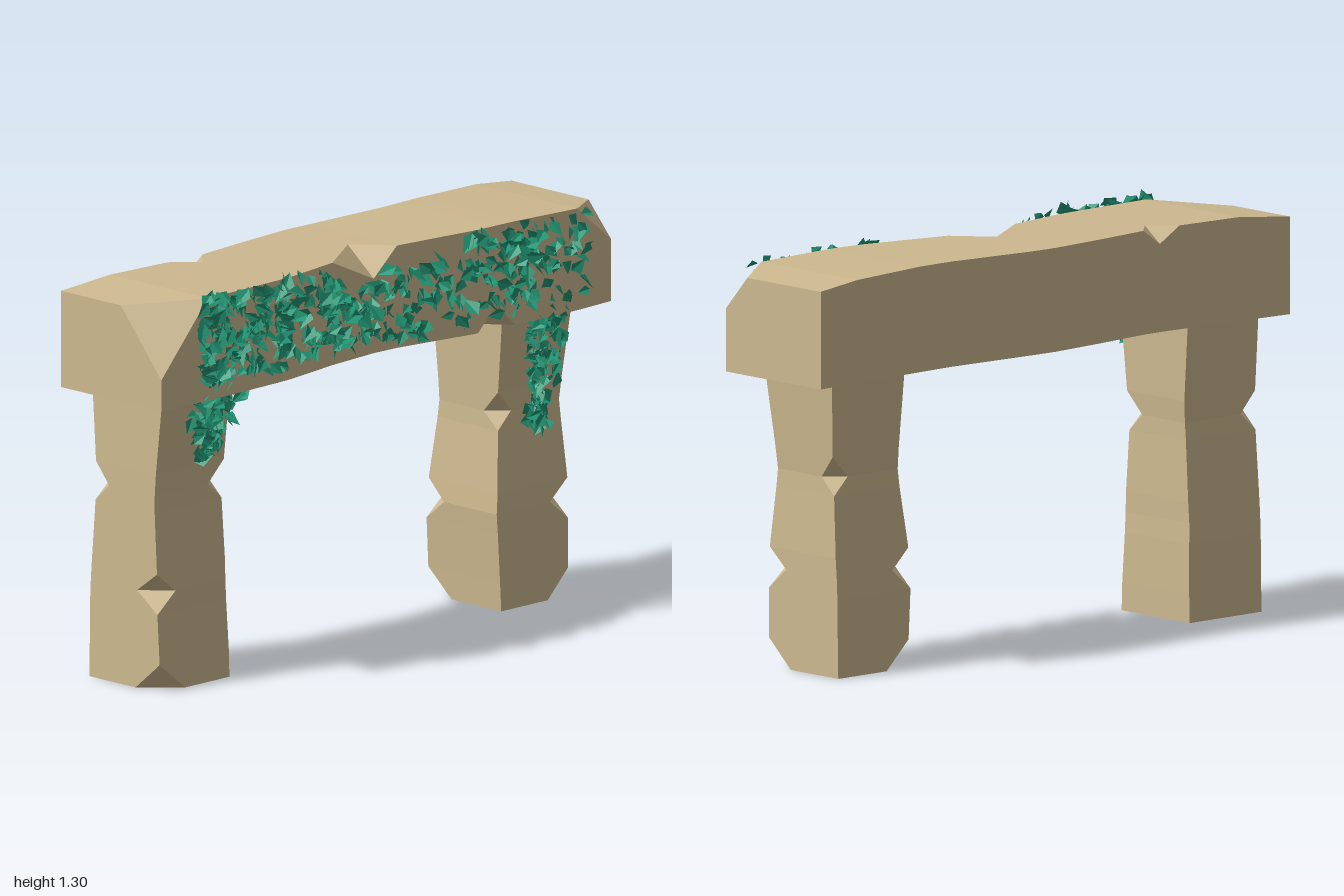
import * as THREE from 'three';

const stoneMat = new THREE.MeshStandardMaterial({ color: 0xcdb98f, flatShading: true });
const leafMat = new THREE.MeshStandardMaterial({ color: 0x229977, flatShading: true, side: THREE.DoubleSide });

function makeRandom(seed) {
  return () => {
    seed = (seed * 1664525 + 1013904223) % 4294967296;
    return seed / 4294967296;
  };
}

function geometryFrom(positions) {
  const g = new THREE.BufferGeometry();
  g.setAttribute('position', new THREE.Float32BufferAttribute(positions, 3));
  g.computeVertexNormals();
  return g;
}

// Hewn block: four-cornered sections [w, u0, u1, v0, v1, cuts] swept along w.
// cuts maps a corner (0..3, counter-clockwise) to the size chipped off it.
function hewnBlock(name, sections, place) {
  const rings = sections.map(([w, u0, u1, v0, v1, cuts = {}]) => {
    const ring = [];
    [[u0, v0, 1, 1], [u1, v0, -1, 1], [u1, v1, -1, -1], [u0, v1, 1, -1]].forEach(([u, v, du, dv], i) => {
      const [cu, cv] = cuts[i] || [0, 0];
      const alongU = place(u + du * cu, v, w), alongV = place(u, v + dv * cv, w);
      ring.push(...(i % 2 ? [alongU, alongV] : [alongV, alongU]));
    });
    return ring;
  });
  const positions = [];
  const tri = (a, b, c) => {
    const area = new THREE.Triangle(a, b, c).getArea();
    if (area > 1e-7) for (const p of [a, b, c]) positions.push(p.x, p.y, p.z);
  };
  for (let r = 0; r < rings.length - 1; r++) {
    for (let i = 0; i < 8; i++) {
      const j = (i + 1) % 8, lo = rings[r], hi = rings[r + 1];
      tri(lo[i], lo[j], hi[j]);
      tri(lo[i], hi[j], hi[i]);
    }
  }
  // end caps, fanned from the middle
  for (const [ring, flip] of [[rings[0], true], [rings.at(-1), false]]) {
    const mid = ring.reduce((s, p) => s.add(p), new THREE.Vector3()).divideScalar(8);
    ring.forEach((p, i) => {
      const q = ring[(i + 1) % 8];
      if (flip) tri(mid, q, p); else tri(mid, p, q);
    });
  }
  const mesh = new THREE.Mesh(geometryFrom(positions), stoneMat);
  mesh.name = name;
  return mesh;
}

// Folded, pointed leaves scattered over patches on the +x side.
function ivy(name, seed, count, pick) {
  const rnd = makeRandom(seed), positions = [];
  const leaf = [[0, -0.5, 0], [0.42, -0.1, 0.16], [0, 0.6, 0], [-0.42, -0.1, 0.16]];
  const out = new THREE.Vector3(), up = new THREE.Vector3(), side = new THREE.Vector3();
  for (let n = 0; n < count; n++) {
    const centre = pick(rnd), size = 0.035 + 0.03 * rnd();
    // leaf faces outward with a strong random tilt, tip mostly down
    out.set(0.75, (rnd() - 0.35) * 1.7, (rnd() - 0.5) * 2).normalize();
    up.set((rnd() - 0.5) * 0.8, -0.3 + (rnd() - 0.5) * 2, (rnd() - 0.5) * 2);
    side.crossVectors(up, out).normalize();
    up.crossVectors(out, side).normalize();
    const p = leaf.map(([a, b, c]) => centre.clone()
      .addScaledVector(side, a * size).addScaledVector(up, b * size).addScaledVector(out, c * size));
    for (const k of [0, 1, 2, 0, 2, 3]) positions.push(p[k].x, p[k].y, p[k].z);
  }
  const mesh = new THREE.Mesh(geometryFrom(positions), leafMat);
  mesh.name = name;
  return mesh;
}

export function createModel() {
  const group = new THREE.Group();
  group.name = 'stoneArchWithIvy';
  const upright = (u, v, w) => new THREE.Vector3(v, w, u);
  const lengthwise = (u, v, w) => new THREE.Vector3(u, v, w);

  // pillars: sections run up y, u = z, v = x
  group.add(hewnBlock('frontPillar', [
    [0, 0.61, 0.915, -0.22, 0.095, { 2: [0.11, 0.11] }],
    [0.09, 0.61, 0.915, -0.218, 0.092],
    [0.25, 0.612, 0.915, -0.216, 0.082],
    [0.315, 0.615, 0.915, -0.213, 0.082, { 2: [0.08, 0.09] }],
    [0.38, 0.615, 0.915, -0.208, 0.08],
    [0.575, 0.62, 0.915, -0.192, 0.07],
    [0.63, 0.62, 0.915, -0.187, 0.07, { 1: [0.06, 0.055], 3: [0.06, 0.06] }],
    [0.7, 0.615, 0.915, -0.19, 0.075],
    [0.96, 0.61, 0.91, -0.212, 0.1],
  ], upright));
  group.add(hewnBlock('backPillar', [
    [0, -0.88, -0.585, -0.22, 0.1, { 1: [0.09, 0.1], 3: [0.09, 0.1] }],
    [0.09, -0.88, -0.58, -0.218, 0.1],
    [0.25, -0.88, -0.57, -0.216, 0.1],
    [0.315, -0.88, -0.565, -0.213, 0.1, { 1: [0.08, 0.08], 3: [0.08, 0.08] }],
    [0.38, -0.88, -0.572, -0.208, 0.097],
    [0.575, -0.872, -0.595, -0.192, 0.075],
    [0.63, -0.87, -0.598, -0.187, 0.07, { 0: [0.06, 0.055], 2: [0.06, 0.06] }],
    [0.7, -0.876, -0.596, -0.19, 0.075],
    [0.96, -0.9, -0.59, -0.212, 0.1],
  ], upright));

  // lintel: sections run along z, u = x, v = y
  group.add(hewnBlock('lintel', [
    [-1, -0.27, 0.17, 0.94, 1.25, { 2: [0.1, 0.11] }],
    [-0.84, -0.265, 0.18, 0.94, 1.268],
    [-0.57, -0.25, 0.178, 0.94, 1.275],
    [-0.49, -0.247, 0.176, 0.94, 1.275, { 1: [0.1, 0.08] }],
    [-0.41, -0.245, 0.172, 0.94, 1.274],
    [-0.1, -0.262, 0.125, 0.94, 1.27],
    [0, -0.265, 0.122, 0.94, 1.27, { 2: [0.115, 0.09] }],
    [0.2, -0.248, 0.14, 0.94, 1.27],
    [0.41, -0.224, 0.175, 0.94, 1.27],
    [0.48, -0.224, 0.18, 0.94, 1.27, { 3: [0.07, 0.05] }],
    [0.56, -0.228, 0.183, 0.94, 1.27],
    [0.8, -0.243, 0.19, 0.94, 1.27],
    [1, -0.26, 0.185, 0.94, 1.25, { 2: [0.18, 0.21] }],
  ], lengthwise));

  // ivy along the lintel, in clumps [z, y, half length, half height, share]
  const clumps = [
    [0.66, 1.13, 0.19, 0.14, 0.31], [0.36, 1.14, 0.16, 0.13, 0.13], [0.12, 1.08, 0.16, 0.09, 0.13],
    [-0.18, 1.1, 0.18, 0.12, 0.15], [-0.47, 1.13, 0.17, 0.14, 0.2], [-0.71, 1.13, 0.15, 0.13, 0.08],
  ];
  group.add(ivy('lintelIvy', 7, 520, (rnd) => {
    let k = 0, t = rnd();
    while (k < clumps.length - 1 && t > clumps[k][4]) t -= clumps[k++][4];
    const [cz, cy, dz, dy] = clumps[k];
    const z = cz + (rnd() * 2 - 1) * dz, y = cy + (rnd() * 2 - 1) * dy;
    return new THREE.Vector3(0.15 + 0.045 * Math.min(1, Math.abs(z) / 0.45) + 0.04 * rnd(), y, z);
  }));

  // ivy hanging down each pillar, narrowing to the tip
  const hang = (topZ, tipZ, tipY, half) => (rnd) => {
    const t = Math.pow(rnd(), 1.2);
    const z = THREE.MathUtils.lerp(topZ, tipZ, t) + (rnd() * 2 - 1) * half * (1 - 0.55 * t);
    return new THREE.Vector3(0.16 - 0.1 * (0.97 - tipY) * t + 0.045 * (rnd() - 0.5), 0.97 - (0.97 - tipY) * t, z);
  };
  group.add(ivy('frontHangingIvy', 21, 95, hang(0.71, 0.77, 0.74, 0.11)));
  group.add(ivy('backHangingIvy', 33, 110, hang(-0.74, -0.72, 0.57, 0.08)));
  return group;
}
